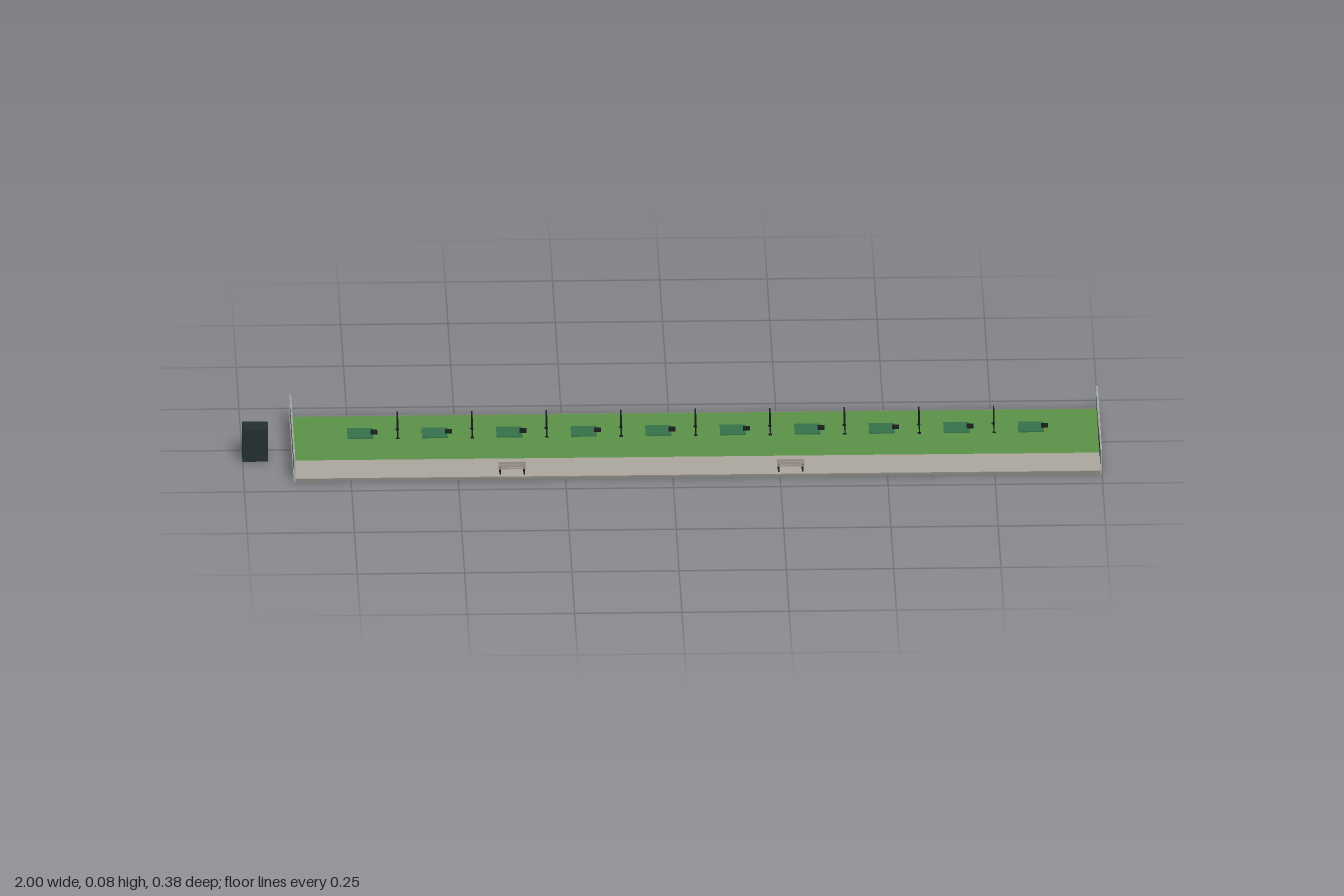
import * as THREE from 'three';

const mat = (name, color) => {
  const m = new THREE.MeshStandardMaterial({ color });
  m.name = name;
  return m;
};

export function createModel() {
  const grass = mat('grass green', 0x5a9147);
  const paving = mat('paving stone', 0xaaa59c);
  const kerbGrey = mat('kerb grey', 0x85857c);
  const dark = mat('dark panel', 0x222e2f);
  const metal = mat('pale metal', 0xa3a79f);
  const turf = mat('mat green', 0x357049);
  const black = mat('black frame', 0x151a1a);
  const slat = mat('bench slats', 0x9c958b);

  const model = new THREE.Group();
  model.name = 'practiceRange';

  // Box given by its minimum and maximum corners
  const box = (parent, name, material, x0, x1, y0, y1, z0, z1) => {
    const m = new THREE.Mesh(new THREE.BoxGeometry(x1 - x0, y1 - y0, z1 - z0), material);
    m.position.set((x0 + x1) / 2, (y0 + y1) / 2, (z0 + z1) / 2);
    m.name = name;
    parent.add(m);
    return m;
  };
  const group = (name, x, y, z) => {
    const g = new THREE.Group();
    g.name = name;
    g.position.set(x, y, z);
    model.add(g);
    return g;
  };

  const X0 = -0.882, X1 = 0.998, Z = 0.19, floor = 0.005;

  // Ground: lawn, walkway and slim kerbs on the long edges
  box(model, 'lawn', grass, X0, X1, 0, floor, -Z + 0.003, 0.076);
  box(model, 'walkway', paving, X0, X1, 0, floor, 0.076, Z - 0.003);
  for (const s of [-1, 1]) {
    const z = s * (Z - 0.0015);
    box(model, 'kerb', kerbGrey, X0, X1, 0, floor + 0.001, z - 0.0015, z + 0.0015);
  }

  // End fences: four dark panels between pale posts and a top rail
  for (const x of [X0, X1]) {
    const f = group('endFence', x, 0, 0);
    box(f, 'fencePanel', dark, -0.001, 0.001, 0.002, 0.057, -Z, Z);
    box(f, 'topRail', metal, -0.002, 0.002, 0.057, 0.06, -Z - 0.002, Z + 0.002);
    box(f, 'bottomRail', metal, -0.002, 0.002, 0, 0.003, -Z, Z);
    for (let i = 0; i < 5; i++) {
      const z = -Z + i * Z / 2;
      box(f, 'fencePost', metal, -0.002, 0.002, 0, 0.06, z - 0.002, z + 0.002);
    }
  }

  // Bays: a mat with a ball tray, and a divider screen between neighbours
  const step = 0.1737, firstX = -0.722, bayZ = -0.079;
  for (let i = 0; i < 10; i++) {
    const bay = group('bay', firstX + i * step, floor, bayZ);
    box(bay, 'mat', turf, -0.03, 0.03, 0, 0.003, -0.029, 0.029);
    box(bay, 'ballTray', black, 0.024, 0.04, 0.003, 0.007, -0.01, 0.01);
    if (i === 9) continue;
    const d = group('divider', firstX + (i + 0.5) * step, floor, bayZ + 0.003);
    box(d, 'screen', dark, -0.0008, 0.0008, 0.01, 0.043, -0.027, 0.027);
    box(d, 'screenTop', black, -0.0015, 0.0015, 0.042, 0.045, -0.029, 0.029);
    box(d, 'screenBottom', black, -0.0015, 0.0015, 0.008, 0.011, -0.029, 0.029);
    for (const s of [-1, 1]) {
      box(d, 'screenPost', black, -0.0015, 0.0015, 0, 0.045, s * 0.0275 - 0.0015, s * 0.0275 + 0.0015);
      box(d, 'screenFoot', black, -0.004, 0.004, 0, 0.002, s * 0.0265 - 0.0025, s * 0.0265 + 0.0025);
    }
  }

  // Benches on the walkway, facing the lawn
  for (const x of [-0.374, 0.275]) {
    const b = group('bench', x, floor, 0.164);
    for (const z of [-0.0075, 0, 0.0075]) {
      box(b, 'seatSlat', slat, -0.032, 0.032, 0.014, 0.017, z - 0.003, z + 0.003);
    }
    for (const y of [0.0225, 0.0295]) {
      box(b, 'backSlat', slat, -0.032, 0.032, y - 0.003, y + 0.003, 0.0095, 0.0115);
    }
    for (const s of [-1, 1]) {
      const lx = s * 0.028;
      box(b, 'frontLeg', black, lx - 0.002, lx + 0.002, 0, 0.014, -0.01, -0.007);
      box(b, 'backLeg', black, lx - 0.002, lx + 0.002, 0, 0.031, 0.007, 0.0095);
      box(b, 'seatBearer', black, lx - 0.002, lx + 0.002, 0.012, 0.014, -0.01, 0.0095);
    }
  }

  // Free-standing dispenser cabinet beside the walkway
  const c = group('cabinet', -0.97, 0, 0.044);
  box(c, 'cabinetBody', dark, -0.03, 0.03, 0, 0.081, -0.025, 0.025);

  return model;
}
